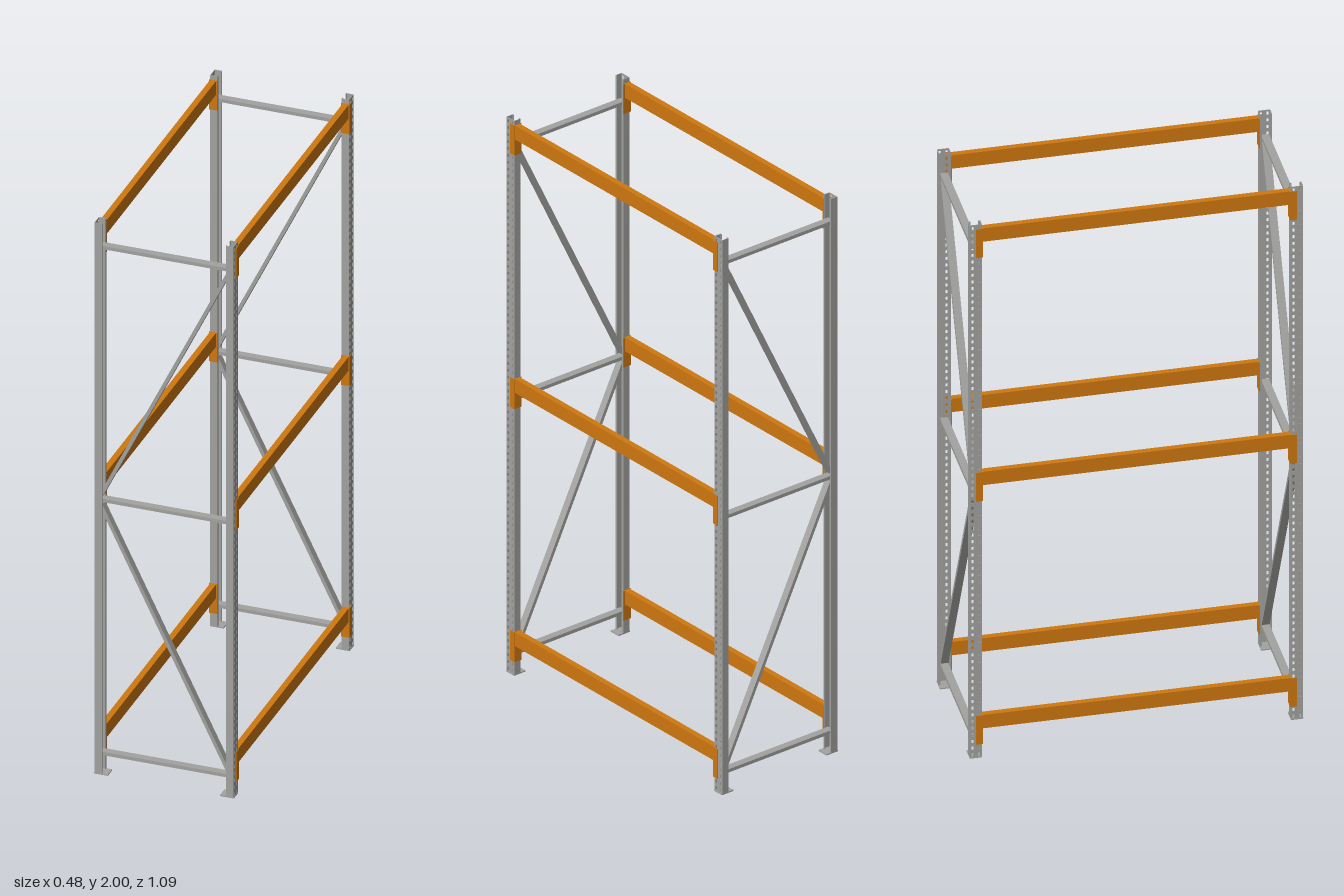
import * as THREE from 'three';

const steel = new THREE.MeshStandardMaterial({ name: 'galvanised steel', color: 0xa3a3a1 });
const orange = new THREE.MeshStandardMaterial({ name: 'orange paint', color: 0xd0780f });

const OUT = 0.2365;   // outer face of the posts in x
const IN = 0.211;     // open inner side of the posts in x
const POST_Z = 0.525; // post centre line in z
const HALF = 0.02;    // half the post width
const WALL = 0.002;
const HEIGHT = 2;

// Box given by its extents
function box(parent, name, material, [x0, x1], [y0, y1], [z0, z1]) {
  const geometry = new THREE.BoxGeometry(Math.abs(x1 - x0), Math.abs(y1 - y0), Math.abs(z1 - z0));
  const mesh = new THREE.Mesh(geometry, material);
  mesh.position.set((x0 + x1) / 2, (y0 + y1) / 2, (z0 + z1) / 2);
  mesh.name = name;
  parent.add(mesh);
  return mesh;
}

// Post face with two columns of slots
function makeWebGeometry() {
  const shape = new THREE.Shape([
    new THREE.Vector2(-HALF, 0), new THREE.Vector2(HALF, 0),
    new THREE.Vector2(HALF, HEIGHT), new THREE.Vector2(-HALF, HEIGHT),
  ]);
  const w = 0.0035, h = 0.006, pitch = 0.025;
  for (let i = 0; i < HEIGHT / pitch; i++) {
    const y = (i + 0.5) * pitch;
    for (const c of [-0.011, 0.011]) {
      shape.holes.push(new THREE.Path([
        new THREE.Vector2(c - w, y - h), new THREE.Vector2(c - w, y + h),
        new THREE.Vector2(c + w, y + h), new THREE.Vector2(c + w, y - h),
      ]));
    }
  }
  const geometry = new THREE.ExtrudeGeometry(shape, { depth: WALL, bevelEnabled: false });
  geometry.rotateY(Math.PI / 2);
  geometry.translate(-WALL / 2, 0, 0);
  return geometry;
}

// Open channel post with lips and a foot plate
function makePost(webGeometry, sx, sz) {
  const post = new THREE.Group();
  post.name = 'post';
  const web = new THREE.Mesh(webGeometry, steel);
  web.name = 'slottedFace';
  web.position.set(sx * (OUT - WALL / 2), 0, sz * POST_Z);
  post.add(web);
  const zc = sz * POST_Z;
  for (const side of [-1, 1]) {
    const edge = zc + side * HALF;
    box(post, 'flange', steel, [sx * IN, sx * (OUT - WALL)], [0, HEIGHT], [edge - side * WALL, edge]);
    box(post, 'lip', steel, [sx * IN, sx * (IN + WALL)], [0, HEIGHT], [edge - side * 0.007, edge - side * WALL]);
  }
  box(post, 'footPlate', steel, [sx * 0.191, sx * 0.238], [0, 0.004], [zc - HALF, zc + HALF]);
  return post;
}

// Straight brace between two points in the plane of an end frame
function addBrace(parent, name, a, b, z) {
  const dx = b[0] - a[0], dy = b[1] - a[1];
  const mesh = new THREE.Mesh(new THREE.BoxGeometry(Math.hypot(dx, dy), 0.012, 0.0258), steel);
  mesh.name = name;
  mesh.position.set((a[0] + b[0]) / 2, (a[1] + b[1]) / 2, z);
  mesh.rotation.z = Math.atan2(dy, dx);
  parent.add(mesh);
}

// Beam with an angled connector at each end
function makeBeam(sx, top) {
  const beam = new THREE.Group();
  beam.name = 'beam';
  box(beam, 'beamBar', orange, [sx * 0.2155, sx * 0.236], [top - 0.05, top], [-0.503, 0.503]);
  for (const sz of [-1, 1]) {
    const y = [top - 0.107, top];
    box(beam, 'connectorEnd', orange, [sx * 0.21, sx * 0.239], y, [sz * 0.502, sz * 0.505]);
    box(beam, 'connectorFace', orange, [sx * OUT, sx * 0.239], y, [sz * 0.505, sz * 0.524]);
  }
  return beam;
}

export function createModel() {
  const model = new THREE.Group();
  model.name = 'storageRack';
  const webGeometry = makeWebGeometry();

  // End frames
  for (const sz of [-1, 1]) {
    const frame = new THREE.Group();
    frame.name = sz > 0 ? 'frontFrame' : 'backFrame';
    for (const sx of [-1, 1]) frame.add(makePost(webGeometry, sx, sz));
    const z = sz * POST_Z;
    for (const y of [0.074, 0.992, 1.91]) addBrace(frame, 'horizontalBrace', [-0.225, y], [0.225, y], z);
    addBrace(frame, 'upperDiagonal', [-0.218, 1.008], [0.218, 1.9], z);
    addBrace(frame, 'lowerDiagonal', [-0.218, 0.976], [0.218, 0.085], z);
    model.add(frame);
  }

  // Three levels of beams on both sides
  for (const top of [0.157, 1.07, 1.984]) {
    for (const sx of [-1, 1]) model.add(makeBeam(sx, top));
  }
  return model;
}
